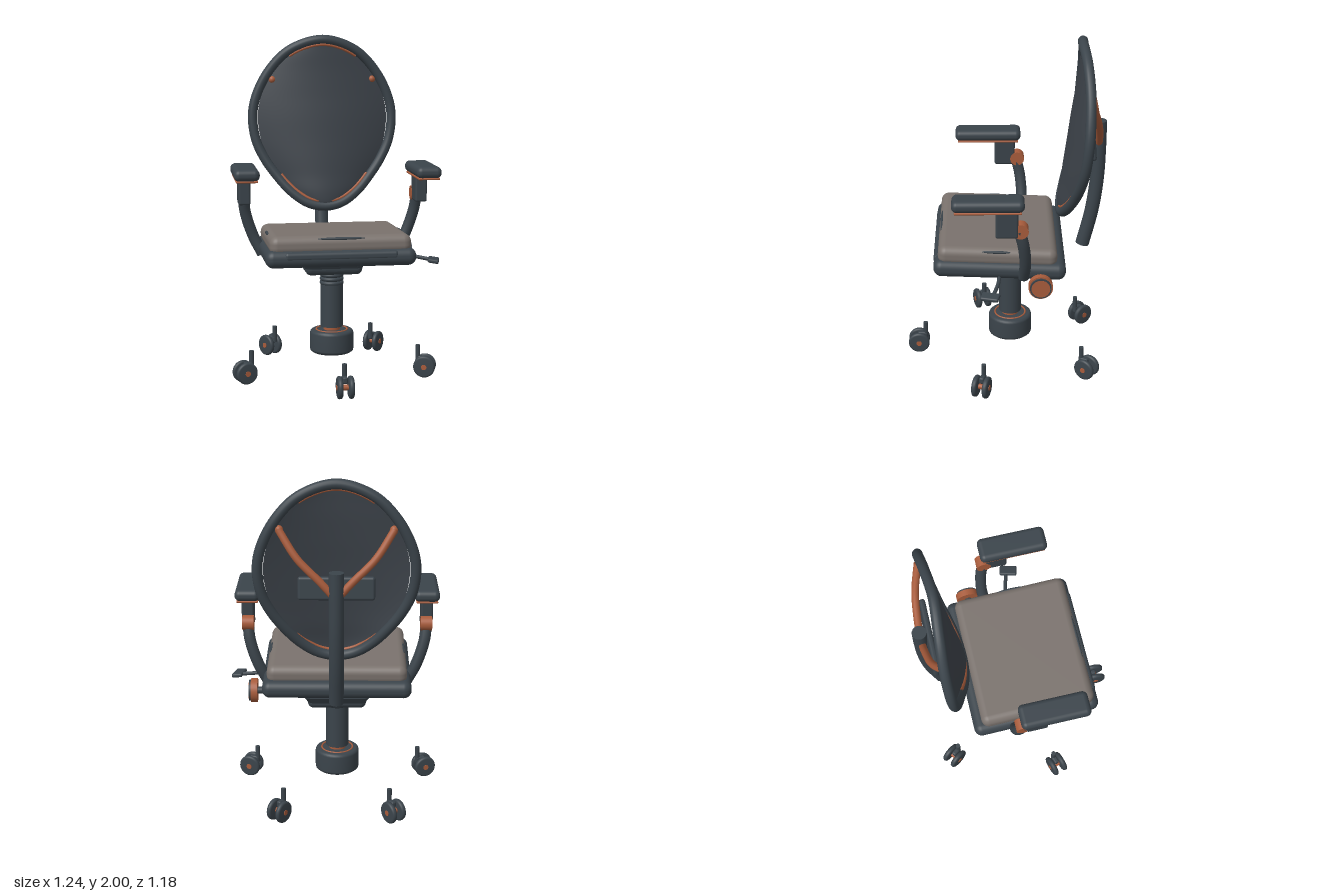
import * as THREE from 'three';
import { RoundedBoxGeometry } from 'three/addons/geometries/RoundedBoxGeometry.js';

const mat = (name, color, side = THREE.FrontSide) => {
  const m = new THREE.MeshStandardMaterial({ color, side });
  m.name = name;
  return m;
};
const V = (x, y, z) => new THREE.Vector3(x, y, z);

export function createModel() {
  const dark = mat('charcoal', 0x3b444b);
  const meshMat = mat('backFabric', 0x3d434a, THREE.DoubleSide);
  const grey = mat('seatFabric', 0x7a726d);
  const orange = mat('copper', 0xa85c3c);

  const root = new THREE.Group();
  root.name = 'officeChair';

  const add = (parent, name, geo, m, x = 0, y = 0, z = 0) => {
    const mesh = new THREE.Mesh(geo, m);
    mesh.name = name;
    mesh.position.set(x, y, z);
    parent.add(mesh);
    return mesh;
  };
  const group = (parent, name, x = 0, y = 0, z = 0) => {
    const g = new THREE.Group();
    g.name = name;
    g.position.set(x, y, z);
    parent.add(g);
    return g;
  };
  const box = (w, h, d, r) => new RoundedBoxGeometry(w, h, d, 4, r);
  const cyl = (r, h, r2 = r) => new THREE.CylinderGeometry(r, r2, h, 32);
  const cylX = (r, h) => cyl(r, h).rotateZ(-Math.PI / 2);
  const lathe = (pts) => new THREE.LatheGeometry(pts.map(p => new THREE.Vector2(...p)), 40);
  const ball = (r) => new THREE.SphereGeometry(r, 20, 14);
  // Tube through points, with flat end discs
  const rod = (parent, name, pts, r, m) => {
    const curve = new THREE.CatmullRomCurve3(pts);
    add(parent, name, new THREE.TubeGeometry(curve, 32, r, 16), m);
    [[0, -1], [1, 1]].forEach(([t, s]) => {
      const cap = add(parent, name + 'End', new THREE.CircleGeometry(r, 16), m);
      cap.position.copy(curve.getPoint(t));
      cap.quaternion.setFromUnitVectors(V(0, 0, 1), curve.getTangent(t).multiplyScalar(s));
    });
  };

  // Casters around the hub
  const baseZ = -0.035;
  for (let i = 0; i < 5; i++) {
    const a = i * Math.PI * 2 / 5;
    const c = group(root, 'caster', 0.515 * Math.sin(a), 0, baseZ + 0.515 * Math.cos(a));
    c.rotation.y = a;
    add(c, 'casterStem', cyl(0.014, 0.1), dark, 0, 0.14, 0.003);
    add(c, 'casterFork', box(0.03, 0.04, 0.06, 0.01), dark, 0, 0.105, 0.022);
    add(c, 'casterAxle', cylX(0.016, 0.1), orange, 0, 0.066, 0.044);
    for (const s of [-1, 1]) {
      const wheel = lathe([[0, -0.015], [0.053, -0.015], [0.061, -0.011], [0.064, -0.004],
        [0.064, 0.004], [0.061, 0.011], [0.053, 0.015], [0, 0.015]]).rotateZ(Math.PI / 2);
      add(c, 'casterWheel', wheel, dark, s * 0.032, 0.066, 0.044);
    }
  }

  // Hub and gas column
  const hub = group(root, 'pedestal', 0, 0, baseZ);
  add(hub, 'hub', lathe([[0, 0.13], [0.115, 0.13], [0.128, 0.14], [0.13, 0.15], [0.13, 0.245],
    [0.126, 0.257], [0.115, 0.265], [0, 0.265]]), dark);
  add(hub, 'hubRing', new THREE.TorusGeometry(0.092, 0.005, 8, 40).rotateX(Math.PI / 2), orange, 0, 0.265);
  add(hub, 'columnCollar', cyl(0.05, 0.035), orange, 0, 0.277);
  add(hub, 'column', cyl(0.067, 0.26), dark, 0, 0.415);
  add(hub, 'columnNeck', cyl(0.06, 0.1), dark, 0, 0.57);
  for (let i = 0; i < 3; i++) {
    add(hub, 'columnRib', new THREE.TorusGeometry(0.06, 0.012, 10, 36).rotateX(Math.PI / 2), dark, 0, 0.55 + i * 0.024);
  }

  // Seat, tilted slightly backwards
  const seat = group(root, 'seat', 0, 0.757, 0.03);
  seat.rotation.x = -0.04;
  add(seat, 'seatPan', box(0.856, 0.1, 0.755, 0.046), dark, 0, 0, 0);
  add(seat, 'seatCushion', box(0.805, 0.11, 0.68, 0.046), grey, 0, 0.073, 0.015);
  add(seat, 'frontBar', box(0.645, 0.05, 0.06, 0.02), dark, 0, 0.015, 0.35);
  // Tapered tilt mechanism
  const mech = box(0.385, 0.12, 0.4, 0.04);
  const p = mech.attributes.position;
  for (let i = 0; i < p.count; i++) {
    const k = p.getY(i) < 0 ? 0.88 : 1;
    p.setXYZ(i, p.getX(i) * k, p.getY(i), p.getZ(i) * k);
  }
  mech.computeVertexNormals();
  add(seat, 'tiltMechanism', mech, dark, 0, -0.086, -0.12);
  // Dark slits around the cushion rim
  add(seat, 'frontSlit', ball(1).scale(0.14, 0.009, 0.009), dark, 0, 0.11, 0.343);
  for (const s of [-1, 1]) {
    add(seat, 'sideSlit', ball(1).scale(0.009, 0.009, 0.085), dark, s * 0.39, 0.11, 0.025);
  }

  // Tension knob and height lever on the left side
  const knob = group(root, 'tensionKnob', 0.478, 0.695, -0.2);
  add(knob, 'knobAxle', cylX(0.02, 0.12), dark, -0.07);
  add(knob, 'knobBody', cylX(0.069, 0.038), orange);
  add(knob, 'knobRim', cylX(0.061, 0.012), dark, 0.024);
  add(knob, 'knobFace', cylX(0.053, 0.006), orange, 0.029);
  rod(root, 'leverRod', [V(0.36, 0.73, 0.03), V(0.47, 0.71, 0.04), V(0.58, 0.69, 0.07)], 0.011, dark);
  const paddle = add(root, 'leverPaddle', box(0.065, 0.024, 0.105, 0.01), dark, 0.59, 0.69, 0.085);
  paddle.rotation.set(0, -0.25, -0.15);

  // Armrests
  for (const s of [-1, 1]) {
    const arm = group(root, s > 0 ? 'leftArmrest' : 'rightArmrest');
    add(arm, 'armPad', box(0.145, 0.066, 0.4, 0.03), dark, s * 0.519, 1.232, 0.095);
    add(arm, 'armPadBase', box(0.125, 0.012, 0.37, 0.005), orange, s * 0.519, 1.196, 0.095);
    add(arm, 'armBlock', box(0.07, 0.17, 0.125, 0.012), dark, s * 0.519, 1.118, -0.008);
    add(arm, 'armKnuckle', cylX(0.043, 0.066), orange, s * 0.515, 1.07, -0.085);
    rod(arm, 'armTube', [V(s * 0.517, 1.07, -0.075), V(s * 0.505, 0.97, -0.1),
      V(s * 0.46, 0.83, -0.113), V(s * 0.405, 0.72, -0.105)], 0.033, dark);
  }

  // Back frame: closed egg-shaped tube
  const half = [[0.2, 1.91, -0.455], [0.33, 1.78, -0.465], [0.41, 1.62, -0.462], [0.43, 1.5, -0.455],
    [0.41, 1.36, -0.44], [0.36, 1.25, -0.42], [0.29, 1.15, -0.395], [0.2, 1.05, -0.36], [0.1, 0.983, -0.335]];
  const loop = [V(0, 1.972, -0.44), ...half.map(q => V(...q)), V(0, 0.963, -0.328),
    ...half.slice().reverse().map(([x, y, z]) => V(-x, y, z))];
  const frame = new THREE.CatmullRomCurve3(loop, true);
  const back = group(root, 'backrest');
  add(back, 'backFrame', new THREE.TubeGeometry(frame, 120, 0.029, 16, true), dark);

  // Back fabric: rows across the frame, bulging forward in the middle
  const rows = 48, cols = 24, pos = [], idx = [];
  for (let i = 0; i <= rows; i++) {
    const u = i / rows;
    const e = frame.getPoint(u * 0.5);
    for (let j = 0; j <= cols; j++) {
      const k = (j / cols) * 2 - 1;
      pos.push(k * e.x * 0.925, e.y, e.z + 0.08 * Math.sin(Math.PI * u) * (1 - k * k));
      if (i < rows && j < cols) {
        const a = i * (cols + 1) + j, b = a + cols + 1;
        idx.push(a, b, a + 1, b, b + 1, a + 1);
      }
    }
  }
  const fabric = new THREE.BufferGeometry();
  fabric.setAttribute('position', new THREE.Float32BufferAttribute(pos, 3));
  fabric.setIndex(idx);
  fabric.computeVertexNormals();
  add(back, 'backFabric', fabric, meshMat);

  // Copper trim showing along the inner top and bottom of the frame
  const trim = (mid, span) => {
    const pts = [];
    for (let i = 0; i <= 12; i++) {
      const q = frame.getPointAt((mid + span * (i / 6 - 1) + 1) % 1);
      pts.push(V(q.x * 0.94, 1.47 + (q.y - 1.47) * 0.94, q.z + 0.008));
    }
    add(back, 'backTrim', new THREE.TubeGeometry(new THREE.CatmullRomCurve3(pts), 40, 0.009, 8), orange);
  };
  trim(0, 0.08);
  trim(0.5, 0.12);

  // Rear upright, forked support and lumbar pad
  rod(back, 'upright', [V(0, 0.73, -0.465), V(0, 0.95, -0.515), V(0, 1.15, -0.54),
    V(0, 1.35, -0.547), V(0, 1.512, -0.547)], 0.041, dark);
  for (const s of [-1, 1]) {
    rod(back, 'forkArm', [V(0, 1.36, -0.545), V(s * 0.09, 1.46, -0.54), V(s * 0.21, 1.58, -0.52),
      V(s * 0.31, 1.73, -0.475)], 0.021, orange);
    add(back, 'forkTip', ball(0.022), orange, s * 0.308, 1.73, -0.465);
  }
  const lumbar = add(back, 'lumbarPad', box(0.42, 0.13, 0.035, 0.015), dark, 0, 1.41, -0.497);
  lumbar.rotation.x = 0.08;

  root.position.x = -0.0125;
  const model = new THREE.Group();
  model.name = 'model';
  model.add(root);
  return model;
}
